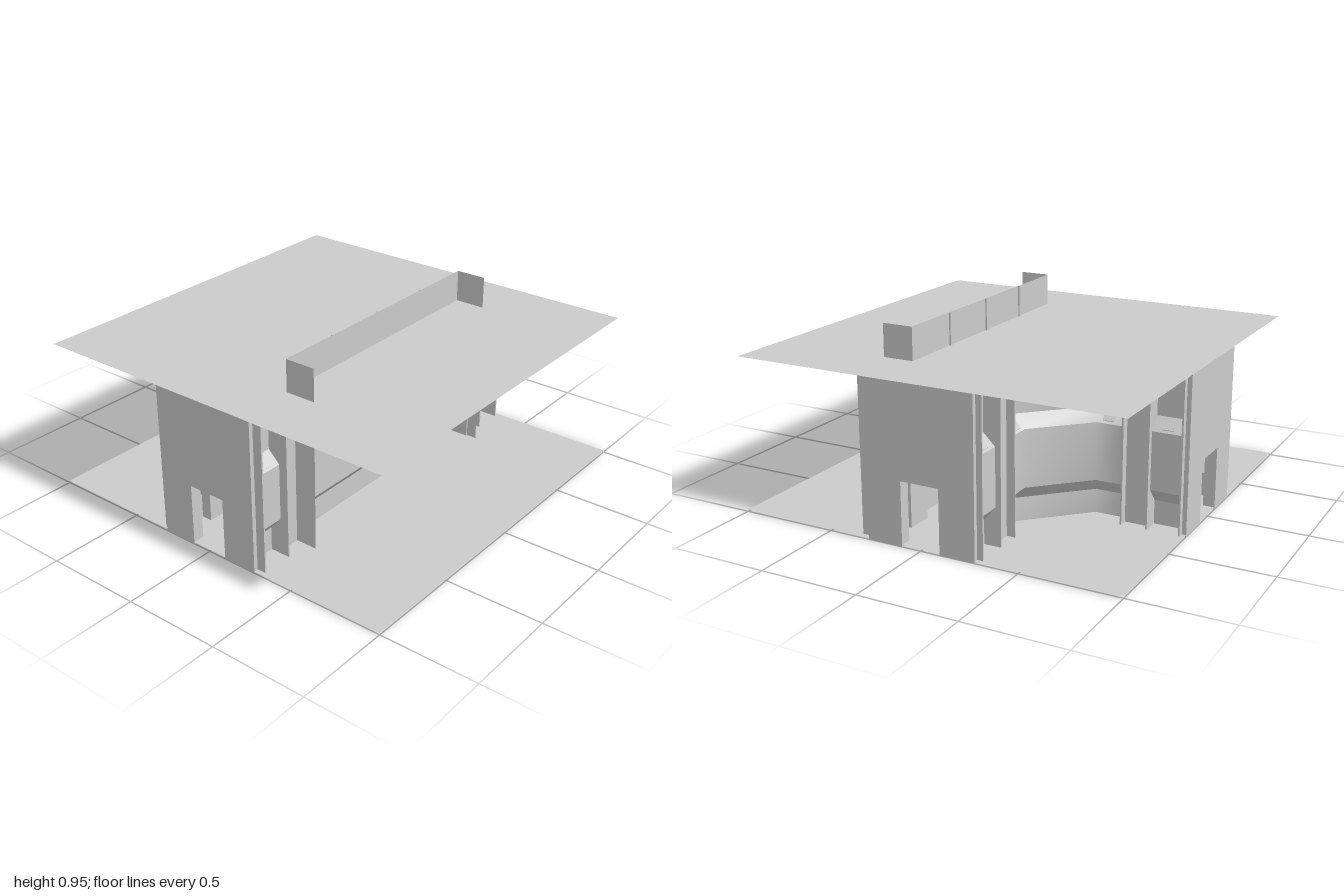
import * as THREE from 'three';

const mat = new THREE.MeshStandardMaterial({ color: 0xcccccc, side: THREE.DoubleSide });
const FLOOR = 0.01, ROOF = 0.785, HEADER = 0.95;

// wall section: [distance from corridor axis, height]
const section = [[0.225, FLOOR], [0.225, 0.13], [0.285, 0.2], [0.285, 0.49], [0.225, 0.55], [0.225, ROOF]];

function add(parent, name, geometry) {
  const mesh = new THREE.Mesh(geometry, mat);
  mesh.name = name;
  parent.add(mesh);
  return mesh;
}

// box given by its extents
function box(parent, name, x0, x1, y0, y1, z0, z1) {
  const mesh = add(parent, name, new THREE.BoxGeometry(x1 - x0, y1 - y0, z1 - z0));
  mesh.position.set((x0 + x1) / 2, (y0 + y1) / 2, (z0 + z1) / 2);
  return mesh;
}

// wall swept along a plan path; pathAt(d) gives [x, z] points at distance d from the axis.
// One strip per section row, so rows meet sharply and the path is smooth.
function wall(parent, name, pathAt) {
  const group = new THREE.Group();
  group.name = name;
  for (let r = 0; r < section.length - 1; r++) {
    const [low, high] = [section[r], section[r + 1]];
    const a = pathAt(low[0]), b = pathAt(high[0]);
    const positions = [], index = [];
    a.forEach(([x, z], i) => {
      positions.push(x, low[1], z, b[i][0], high[1], b[i][1]);
      if (i > 0) {
        const k = 2 * i;
        index.push(k - 2, k, k - 1, k, k + 1, k - 1);
      }
    });
    const g = new THREE.BufferGeometry();
    g.setAttribute('position', new THREE.Float32BufferAttribute(positions, 3));
    g.setIndex(index);
    g.computeVertexNormals();
    add(group, 'wallStrip', g);
  }
  parent.add(group);
}

const straight = (x0, x1) => (d) => [[x0, d], [x1, d]];

// small light lying on the sloped ledge of a wall facing +z
function ledgeLight(parent, x) {
  const lamp = add(parent, 'ledgeLight', new THREE.BoxGeometry(0.056, 0.042, 0.008));
  lamp.position.set(x, 0.515, 0.261);
  lamp.rotation.x = -Math.PI / 4;
}

// one side of a corridor arm that runs out along +x; reach is how far its fins and flange stand out
function halfArm(reach) {
  const arm = new THREE.Group();
  arm.name = 'corridorSide';

  // channel pillar: recessed face between two thin fins
  box(arm, 'pillarFace', 0.684, 0.806, FLOOR, ROOF, 0.17, 0.27);
  for (const x of [0.68, 0.81]) box(arm, 'pillarFin', x - 0.004, x + 0.004, FLOOR, ROOF, 0.17, reach);

  wall(arm, 'sidePanel', straight(0.81, 0.97));
  ledgeLight(arm, 0.892);

  // end wall: raised pier with a set-back flange, and half of the lintel
  box(arm, 'endPier', 0.97, 1, 0, ROOF, 0.1, 0.283);
  box(arm, 'endFlange', 0.97, 0.978, FLOOR, ROOF, 0.283, reach);
  box(arm, 'doorLintel', 0.97, 1, 0.32, ROOF, 0, 0.1);

  // inner door frame
  box(arm, 'doorJamb', 0.94, 0.97, FLOOR, 0.35, 0.1, 0.13);
  box(arm, 'doorHead', 0.94, 0.97, 0.32, 0.35, 0, 0.1);
  return arm;
}

// chamfered wall joining a side arm to the back arm
function chamferPath(d) {
  const c = 0.51 + 0.414 * (d - 0.225);
  return [[d, -0.68], [d, -c], [c, -d], [0.68, -d]];
}

export function createModel() {
  const model = new THREE.Group();
  model.name = 'corridorJunction';

  // floor and roof sheets
  for (const [name, y] of [['floor', FLOOR], ['roof', ROOF]]) {
    const sheet = add(model, name, new THREE.PlaneGeometry(2, 2));
    sheet.rotation.x = -Math.PI / 2;
    sheet.position.y = y;
  }

  // three arms: right, back, left, each with two mirrored sides
  for (const turn of [0, Math.PI / 2, Math.PI]) {
    for (const side of [1, -1]) {
      const isFront = turn !== Math.PI / 2 && side === Math.cos(turn);
      const arm = halfArm(isFront ? 0.33 : 0.313);
      if (!isFront) ledgeLight(arm, 0.59);
      arm.scale.z = side;
      arm.rotation.y = turn;
      model.add(arm);
    }
  }

  // chamfered back corners
  for (const side of [1, -1]) {
    const corner = new THREE.Group();
    corner.name = 'backCorner';
    wall(corner, 'chamferWall', chamferPath);
    corner.scale.x = side;
    model.add(corner);
  }

  // long front wall, with a header rising through the roof between end returns
  wall(model, 'frontWall', straight(-0.68, 0.68));
  const header = add(model, 'header', new THREE.PlaneGeometry(1.368, HEADER - ROOF));
  header.position.set(0, (HEADER + ROOF) / 2, 0.225);
  for (const x of [-0.684, 0.684]) {
    const fin = add(model, 'headerReturn', new THREE.PlaneGeometry(0.16, HEADER - FLOOR));
    fin.rotation.y = Math.PI / 2;
    fin.position.set(x, (HEADER + FLOOR) / 2, 0.305);
  }

  // ribs behind the header and the framed panel on the wall
  for (const x of [-0.35, 0, 0.35]) box(model, 'headerRib', x - 0.008, x + 0.008, 0.55, HEADER, 0.217, 0.225);
  box(model, 'panelFrame', -0.332, 0.332, 0.572, 0.777, 0.22, 0.235);
  box(model, 'frontPanel', -0.326, 0.326, 0.578, 0.771, 0.22, 0.24);

  return model;
}
